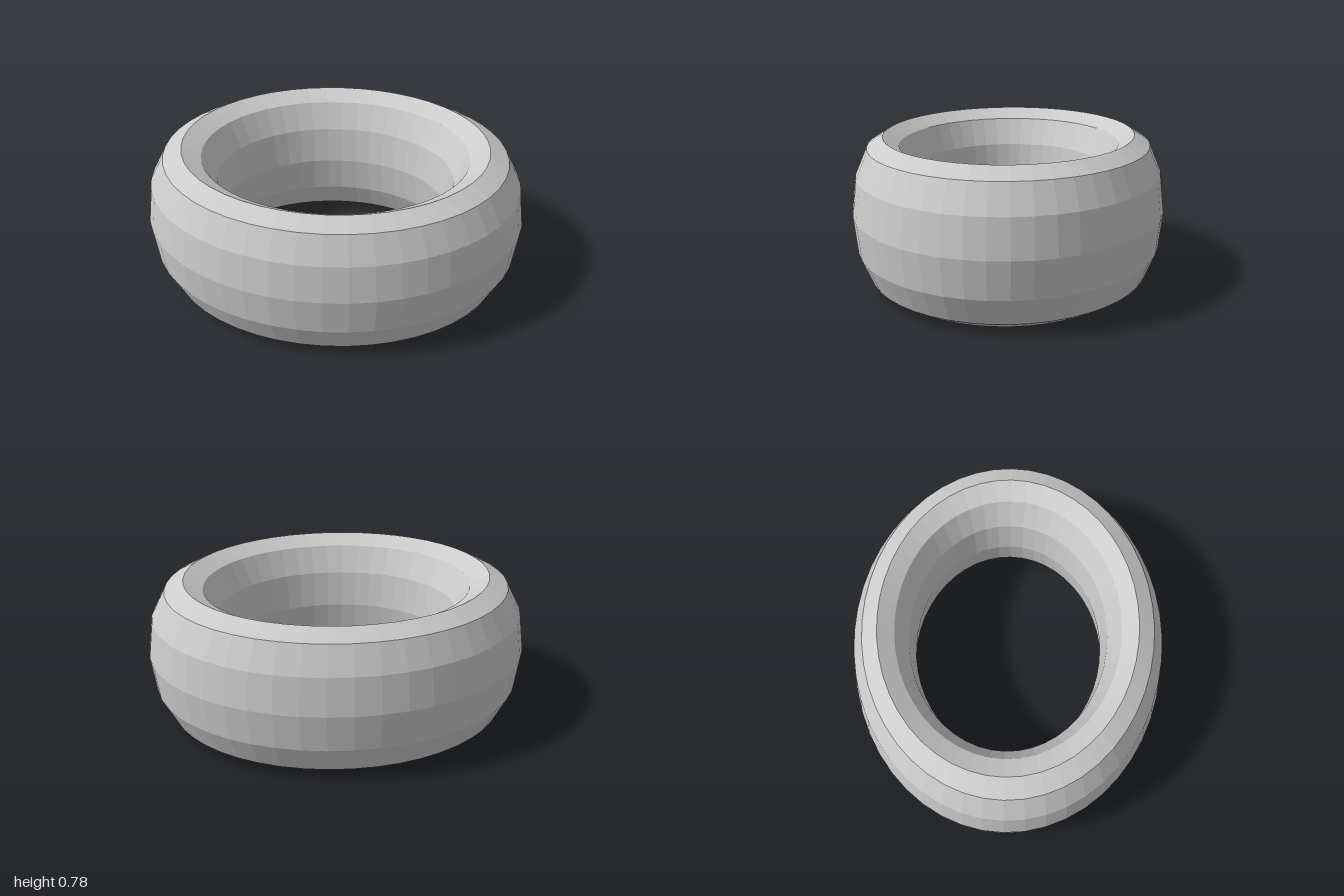
import * as THREE from 'three';

export function createModel() {
  const group = new THREE.Group();
  group.name = 'ovalRing';

  // Faceted ring: 12-sided tube, 48 steps around, laid flat
  const geometry = new THREE.TorusGeometry(0.8, 0.2, 12, 48);
  geometry.rotateX(-Math.PI / 2);
  // Stretch the tube upward and squeeze the ring into an oval
  geometry.scale(1, 1.95, 0.825);
  geometry.translate(0, 0.39, 0);

  const material = new THREE.MeshStandardMaterial({ color: 0xcccccc, flatShading: true });
  const ring = new THREE.Mesh(geometry, material);
  ring.name = 'ring';
  group.add(ring);
  return group;
}
